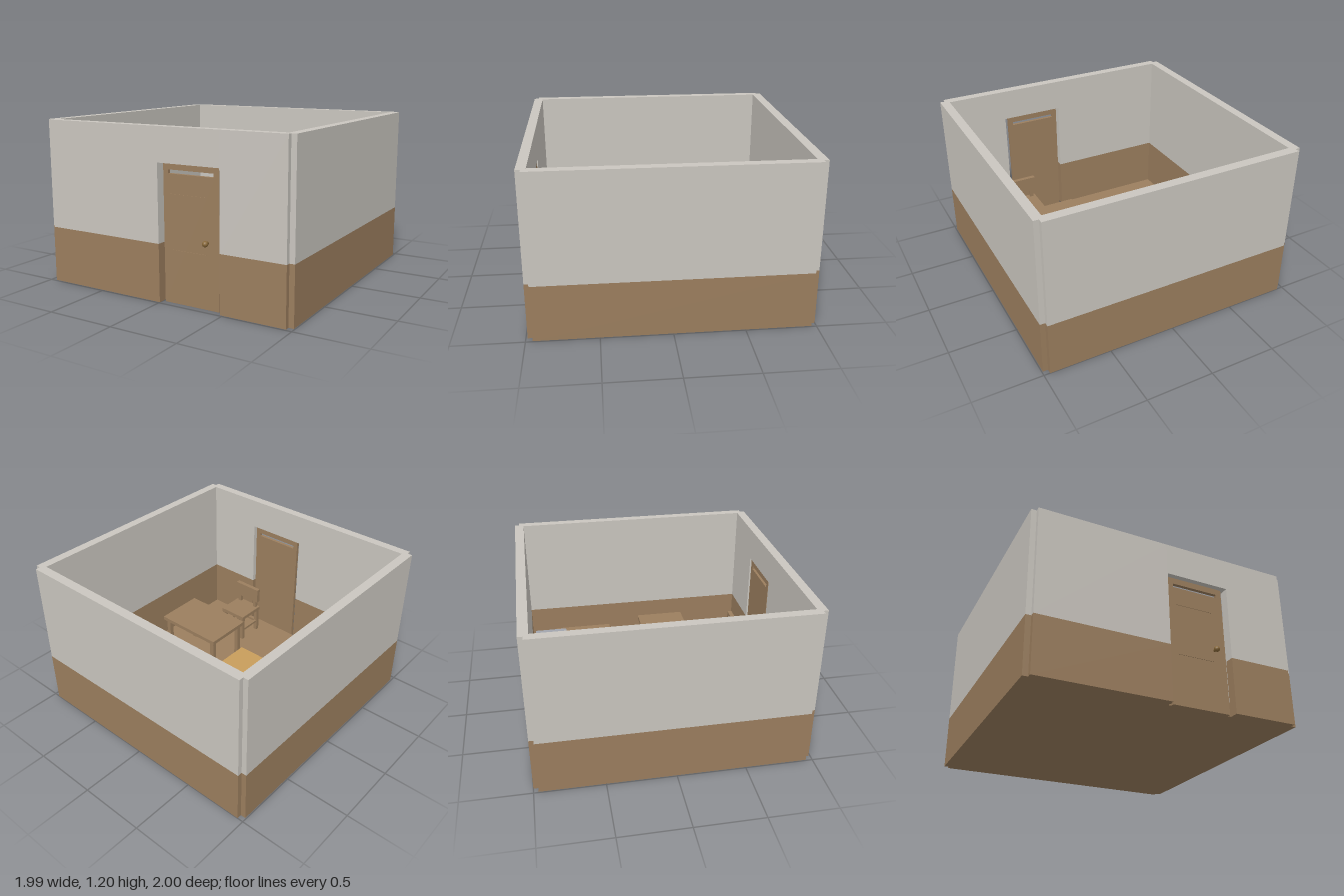
import * as THREE from 'three';

const mat = (name, color) => {
  const m = new THREE.MeshStandardMaterial({ color });
  m.name = name;
  return m;
};

export function createModel() {
  const plaster = mat('plaster', 0xcac6bf);
  const wood = mat('wood', 0x9b7e5e);
  const stone = mat('stone', 0xa2a5ad);
  const blanketGold = mat('blanketGold', 0xc89d5b);
  const brass = mat('brass', 0x8a6a3a);

  const model = new THREE.Group();
  model.name = 'room';
  const group = (name) => {
    const g = new THREE.Group();
    g.name = name;
    model.add(g);
    return g;
  };
  // Box given by its two opposite corners
  const box = (parent, name, material, [x0, x1], [y0, y1], [z0, z1]) => {
    const mesh = new THREE.Mesh(new THREE.BoxGeometry(x1 - x0, y1 - y0, z1 - z0), material);
    mesh.position.set((x0 + x1) / 2, (y0 + y1) / 2, (z0 + z1) / 2);
    mesh.name = name;
    parent.add(mesh);
    return mesh;
  };
  // Four legs at the inside corners of a footprint
  const legs = (parent, [x0, x1], [z0, z1], height, t) => {
    for (const x of [x0, x1 - t]) for (const z of [z0, z1 - t])
      box(parent, 'leg', wood, [x, x + t], [0.01, height], [z, z + t]);
  };

  // Walls: wooden band below, plaster above, with a doorway in the front
  const walls = group('walls');
  const H = 1.2, split = 0.41, doorTop = 0.96;
  for (const [name, m, y] of [['wainscot', wood, [0, split]], ['upperWall', plaster, [split, H]]]) {
    box(walls, name + 'Back', m, [-0.955, 0.955], y, [-1, -0.93]);
    box(walls, name + 'Left', m, [0.925, 0.993], y, [-0.965, 0.953]);
    box(walls, name + 'Right', m, [-0.993, -0.925], y, [-0.965, 0.953]);
    box(walls, name + 'FrontRight', m, [-0.955, 0], y, [0.92, 0.988]);
    box(walls, name + 'FrontLeft', m, [0.48, 0.955], y, [0.92, 0.988]);
  }
  box(walls, 'doorLintel', plaster, [0, 0.48], [doorTop, H], [0.92, 0.988]);
  box(model, 'floor', wood, [-0.93, 0.93], [0, 0.01], [-0.935, 0.925]);

  // Door with a slit near the top, two thin ledges and a knob
  const door = group('door');
  const outline = new THREE.Shape();
  outline.moveTo(0.022, 0).lineTo(0.455, 0).lineTo(0.455, doorTop).lineTo(0.022, doorTop).closePath();
  const slit = new THREE.Path();
  slit.moveTo(0.06, 0.888).lineTo(0.06, 0.915).lineTo(0.415, 0.915).lineTo(0.415, 0.888).closePath();
  outline.holes.push(slit);
  const panel = new THREE.Mesh(
    new THREE.ExtrudeGeometry(outline, { depth: 0.025, bevelEnabled: false }), wood);
  panel.position.z = 0.925;
  panel.name = 'doorPanel';
  door.add(panel);
  for (const y of [0.37, 0.75])
    box(door, 'doorLedge', wood, [0.08, 0.36], [y, y + 0.004], [0.949, 0.953]);
  const profile = [[0, 0], [0.01, 0], [0.01, 0.018], [0.02, 0.026], [0.02, 0.038], [0.012, 0.048], [0, 0.05]];
  const knob = new THREE.Mesh(
    new THREE.LatheGeometry(profile.map(([r, y]) => new THREE.Vector2(r, y)), 16), brass);
  knob.rotation.x = Math.PI / 2;
  knob.position.set(0.367, 0.457, 0.95);
  knob.name = 'doorKnob';
  door.add(knob);

  // Bed
  const bed = group('bed');
  box(bed, 'headboard', wood, [-0.91, -0.87], [0.01, 0.4], [-0.245, 0.235]);
  box(bed, 'bedFrame', wood, [-0.87, 0.04], [0.05, 0.15], [-0.245, 0.235]);
  legs(bed, [-0.87, 0.04], [-0.245, 0.235], 0.05, 0.04);
  box(bed, 'mattress', plaster, [-0.87, 0.02], [0.15, 0.24], [-0.215, 0.205]);
  box(bed, 'blanket', blanketGold, [-0.46, 0.025], [0.235, 0.265], [-0.225, 0.215]);
  box(bed, 'pillow', stone, [-0.815, -0.65], [0.24, 0.285], [-0.165, 0.15]);

  // Fireplace with an open hearth
  const fireplace = group('fireplace');
  const depth = [-0.9, -0.66];
  box(fireplace, 'mantel', stone, [-0.24, 0.235], [0.48, 0.575], depth);
  box(fireplace, 'pierRight', stone, [-0.24, -0.168], [0.01, 0.48], depth);
  box(fireplace, 'pierLeft', stone, [0.163, 0.235], [0.01, 0.48], depth);
  box(fireplace, 'hearthBack', stone, [-0.168, 0.163], [0.01, 0.48], [-0.9, -0.84]);

  // Table
  const table = group('table');
  box(table, 'tableTop', wood, [0.145, 0.715], [0.35, 0.38], [-0.005, 0.38]);
  legs(table, [0.165, 0.695], [0.015, 0.36], 0.35, 0.035);

  // Chair, its back towards the door
  const chair = group('chair');
  box(chair, 'seat', wood, [0.31, 0.55], [0.22, 0.25], [0.57, 0.81]);
  legs(chair, [0.315, 0.545], [0.575, 0.805], 0.22, 0.03);
  for (const x of [0.33, 0.5])
    box(chair, 'backPost', wood, [x, x + 0.03], [0.25, 0.33], [0.775, 0.8]);
  box(chair, 'backrest', wood, [0.31, 0.55], [0.31, 0.435], [0.77, 0.805]);
  for (const x of [0.32, 0.52])
    box(chair, 'sideStretcher', wood, [x, x + 0.02], [0.09, 0.11], [0.6, 0.78]);
  box(chair, 'backStretcher', wood, [0.34, 0.52], [0.09, 0.11], [0.78, 0.8]);

  // Bench along the left wall
  const bench = group('bench');
  box(bench, 'benchTop', wood, [0.735, 0.875], [0.2, 0.23], [-0.725, -0.245]);
  legs(bench, [0.745, 0.865], [-0.705, -0.265], 0.2, 0.03);

  return model;
}
